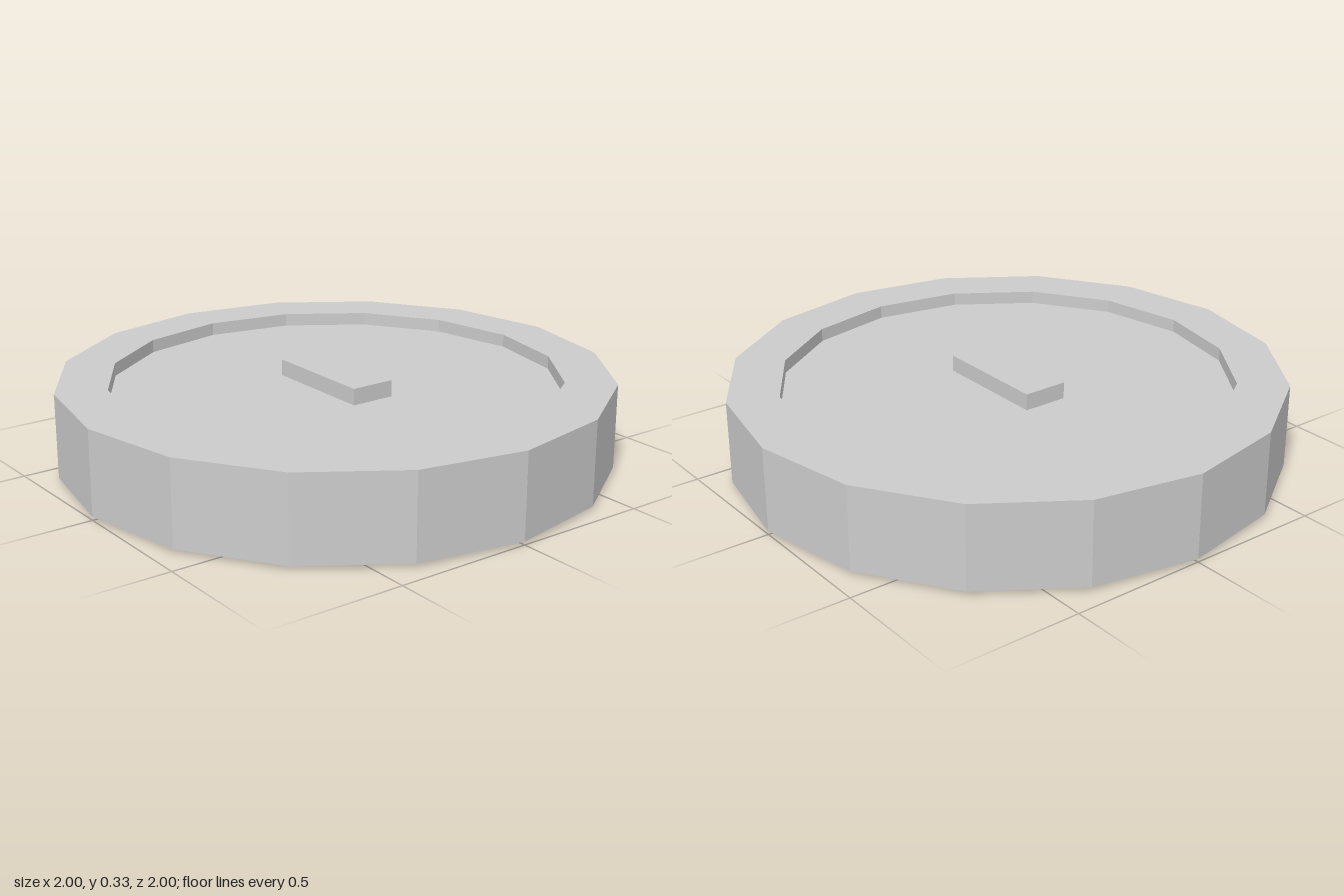
import * as THREE from 'three';

const SIDES = 16;
const MID = 0.166;         // mid height, the coin mirrors about it
const RIM_R = 1, FACE_R = 0.815;
const RIM_H = 0.154;       // half heights from the middle
const FACE_H = 0.106;
const BAR_H = 0.166;

export function createModel() {
  const coin = new THREE.Group();
  coin.name = 'coin';
  const material = new THREE.MeshStandardMaterial({ color: 0xcccccc, flatShading: true });

  const add = (name, geometry, parent) => {
    const mesh = new THREE.Mesh(geometry, material);
    mesh.name = name;
    parent.add(mesh);
    return mesh;
  };

  // Raised rim: outer wall, both rim lips and the recess walls
  const profile = [
    [FACE_R, -FACE_H], [FACE_R, -RIM_H], [RIM_R, -RIM_H],
    [RIM_R, RIM_H], [FACE_R, RIM_H], [FACE_R, FACE_H],
  ].map(([r, y]) => new THREE.Vector2(r, y));
  add('rim', new THREE.LatheGeometry(profile, SIDES), coin).position.y = MID;

  // Recessed face with a raised bar, on the top and the bottom
  for (const side of ['top', 'bottom']) {
    const half = new THREE.Group();
    half.name = side + 'Side';
    half.position.y = MID;
    if (side === 'bottom') half.rotation.z = Math.PI;
    coin.add(half);

    const face = new THREE.CircleGeometry(FACE_R, SIDES).rotateX(-Math.PI / 2);
    add(side + 'Face', face, half).position.y = FACE_H;

    const bar = new THREE.BoxGeometry(0.166, BAR_H - FACE_H, 0.434);
    add(side + 'Bar', bar, half).position.y = (BAR_H + FACE_H) / 2;
  }

  return coin;
}
